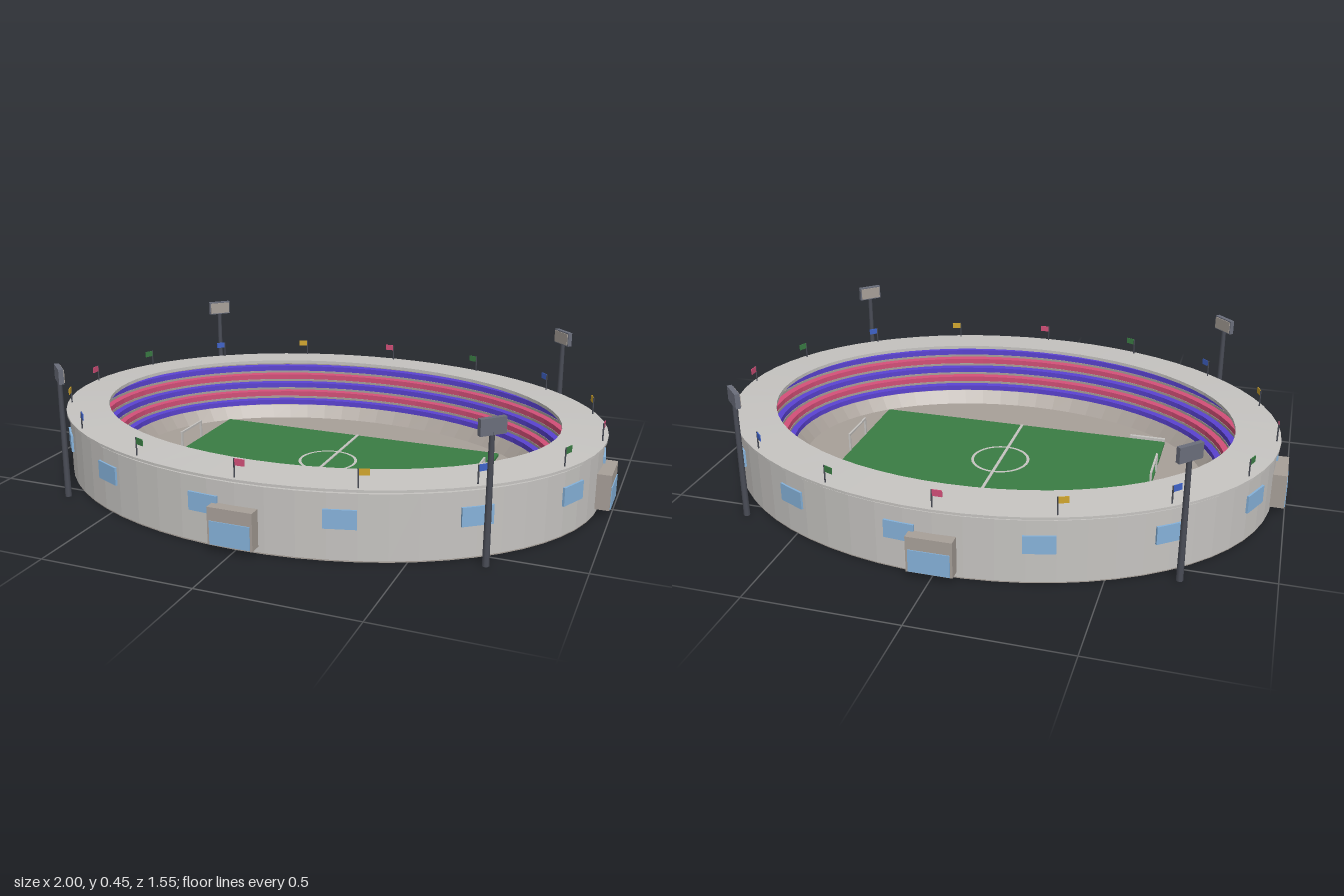
import * as THREE from 'three';

const A = 0.965, B = 0.745, SEG = 64; // outer ellipse of the roof

const mat = (name, color) => {
  const m = new THREE.MeshStandardMaterial({ color });
  m.name = name;
  return m;
};

export function createModel() {
  const M = {
    concrete: mat('concrete', 0xc6c4c1),
    stone: mat('warm stone', 0xa8a099),
    grass: mat('grass green', 0x3a7d44),
    glass: mat('glass blue', 0x86b2da),
    violet: mat('violet seats', 0x5a42d0),
    pink: mat('rose', 0xd24f78),
    steel: mat('dark steel', 0x4a4d57),
    panel: mat('lamp housing', 0x6a6e7b),
    yellow: mat('flag yellow', 0xd0a52c),
    blue: mat('flag blue', 0x3f63c8),
  };
  const model = new THREE.Group();
  model.name = 'stadium';

  const add = (name, geo, material, x = 0, y = 0, z = 0, parent = model) => {
    const mesh = new THREE.Mesh(geo, material);
    mesh.name = name;
    mesh.position.set(x, y, z);
    parent.add(mesh);
    return mesh;
  };
  const box = (name, w, h, d, material, x, y, z, parent) =>
    add(name, new THREE.BoxGeometry(w, h, d), material, x, y, z, parent);
  const group = (name, x, z, turn, parent = model) => {
    const g = new THREE.Group();
    g.name = name;
    g.position.set(x, 0, z);
    g.rotation.y = turn;
    parent.add(g);
    return g;
  };

  // Elliptical ring swept from a profile of [offset from outer ellipse, height]
  const ring = (name, profile, material) => {
    const pos = [];
    const put = (i, [d, y]) => {
      const t = (i / SEG) * Math.PI * 2;
      pos.push((A + d) * Math.cos(t), y, (B + d) * Math.sin(t));
    };
    for (let j = 0; j < profile.length - 1; j++) {
      const p = profile[j], q = profile[j + 1];
      for (let i = 0; i < SEG; i++) {
        put(i, p); put(i, q); put(i + 1, p);
        put(i + 1, p); put(i, q); put(i + 1, q);
      }
    }
    const geo = new THREE.BufferGeometry();
    geo.setAttribute('position', new THREE.Float32BufferAttribute(pos, 3));
    geo.computeVertexNormals();
    return add(name, geo, material);
  };

  // Base slab, outer wall and roof
  const slab = new THREE.CylinderGeometry(1, 1, 0.02, SEG);
  slab.scale(A - 0.012, 1, B - 0.012);
  add('baseSlab', slab, M.stone, 0, 0.01, 0);
  ring('outerWall', [[-0.01, 0.005], [-0.01, 0.214], [-0.06, 0.214]], M.concrete);
  ring('roofSupport', [[-0.035, 0.21], [-0.035, 0.226]], M.concrete);
  ring('roof', [[-0.15, 0.226], [0, 0.222], [0, 0.23], [-0.15, 0.238], [-0.15, 0.226]], M.concrete);

  // Stepped bowl with alternating seat rows
  const rows = 5, stepD = 0.025, stepY = 0.029, d0 = -0.2, y0 = 0.065;
  const steps = [[-0.235, 0.02], [d0, y0]];
  for (let i = 0; i < rows; i++) {
    const d = d0 + i * stepD, y = y0 + i * stepY;
    steps.push([d + stepD, y], [d + stepD, y + stepY]);
    ring('seatRow', [[d + 0.024, y], [d + 0.024, y + 0.021], [d + 0.002, y + 0.019], [d + 0.002, y]],
      i % 2 ? M.pink : M.violet);
  }
  steps.push([-0.055, 0.214]);
  ring('bowl', steps.reverse(), M.stone);

  // Pitch with markings
  box('pitch', 1.1, 0.012, 0.62, M.grass, 0, 0.024, 0);
  box('halfwayLine', 0.01, 0.004, 0.62, M.concrete, 0, 0.031, 0);
  const circle = new THREE.RingGeometry(0.095, 0.105, 48);
  circle.rotateX(-Math.PI / 2);
  add('centreCircle', circle, M.concrete, 0, 0.0335, 0);
  box('bench', 0.13, 0.02, 0.012, M.concrete, -0.485, 0.03, 0.317);

  // Goals
  for (const s of [-1, 1]) {
    const goal = group('goal', s * 0.552, 0, 0);
    for (const z of [-0.072, 0.072]) box('goalPost', 0.007, 0.065, 0.007, M.concrete, 0, 0.06, z, goal);
    box('crossbar', 0.007, 0.007, 0.151, M.concrete, 0, 0.092, 0, goal);
  }

  // Four entrances, each facing outwards
  for (let i = 0; i < 4; i++) {
    const turn = (i * Math.PI) / 2, reach = i % 2 ? 1 : 0.775;
    const e = group('entrance', 0, 0, turn);
    box('entranceBlock', 0.147, 0.12, 0.08, M.stone, 0, 0.083, reach - 0.043, e);
    box('entranceGlass', 0.132, 0.075, 0.006, M.glass, 0, 0.063, reach - 0.003, e);
  }

  // Windows around the wall
  for (let i = 0; i < 14; i++) {
    const t = ((i + 0.75) / 14) * Math.PI * 2, a = A - 0.01, b = B - 0.01;
    const c = Math.cos(t), s = Math.sin(t);
    const w = group('windowBay', a * c, b * s, Math.atan2(c / a, s / b));
    box('window', 0.1, 0.06, 0.009, M.glass, 0, 0.135, 0.001, w);
  }

  // Sixteen flags around the roof
  const flagColors = [M.pink, M.grass, M.blue, M.yellow];
  for (let i = 0; i < 16; i++) {
    const t = (i / 16) * Math.PI * 2;
    const f = group('flag', (A - 0.015) * Math.cos(t), (B - 0.015) * Math.sin(t), Math.PI / 2 - t);
    add('flagPole', new THREE.CylinderGeometry(0.0025, 0.0025, 0.065, 6), M.steel, 0, 0.257, 0, f);
    box('flagCloth', 0.032, 0.021, 0.003, flagColors[i % 4], 0.017, 0.279, 0, f);
  }

  // Four floodlights turned towards the centre
  for (const sx of [-1, 1]) for (const sz of [-1, 1]) {
    const l = group('floodlight', sx * 0.715, sz * 0.56, Math.atan2(-sx, -sz));
    add('lightPole', new THREE.CylinderGeometry(0.008, 0.011, 0.42, 8), M.steel, 0, 0.21, 0, l);
    box('lampPanel', 0.085, 0.05, 0.016, M.panel, 0, 0.425, 0, l);
    box('lampFace', 0.077, 0.042, 0.004, M.stone, 0, 0.425, 0.009, l);
  }
  return model;
}
